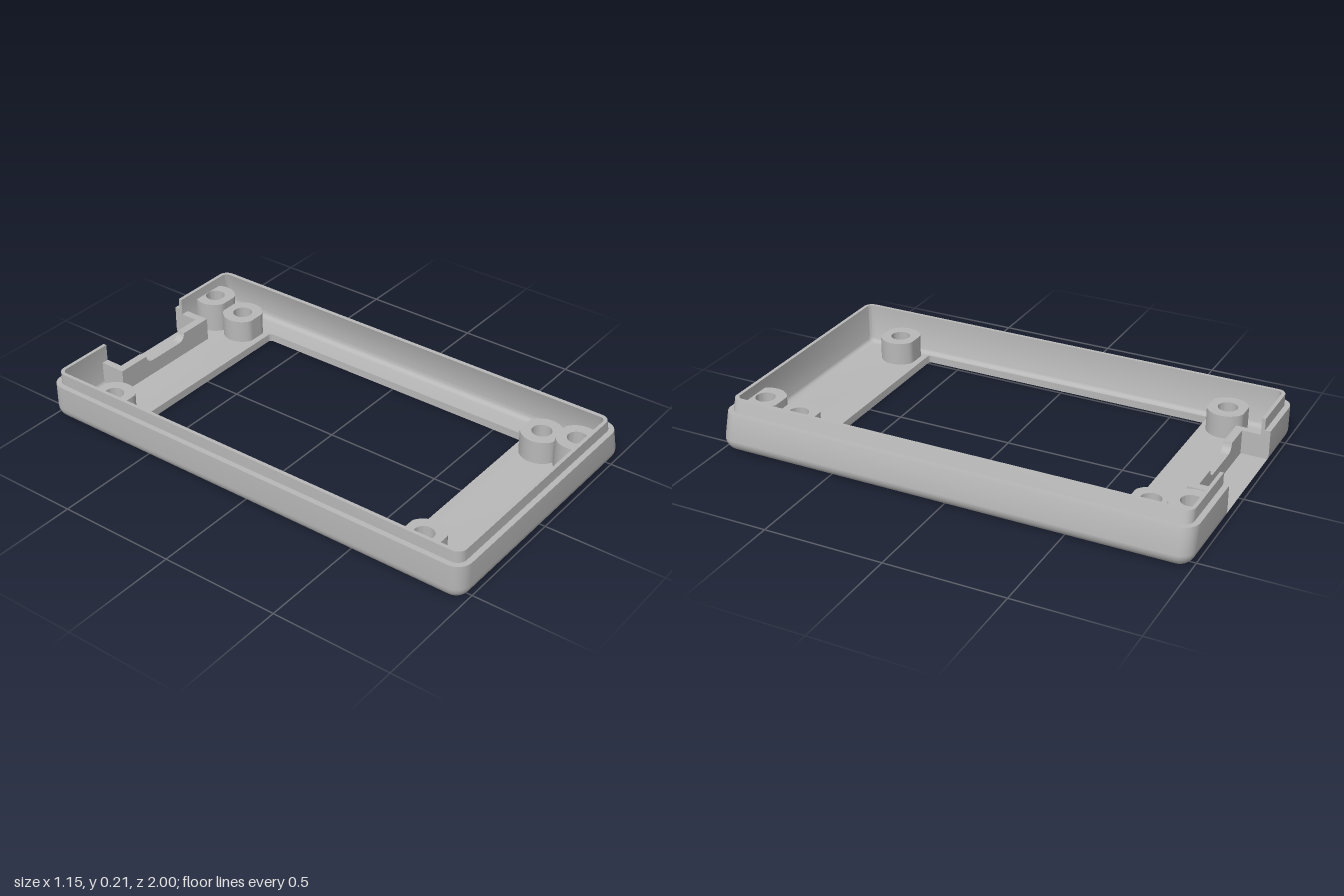
import * as THREE from 'three';
import { toCreasedNormals } from 'three/addons/utils/BufferGeometryUtils.js';

const FLOOR = 0.034, NOTCH = [-0.28, 0.19], SEG = 6;

// Rounded rectangle loop at height y, with two extra points on its back edge at the notch sides
function ring(x0, x1, z0, z1, r, y) {
  const pts = [];
  const corners = [[x1 - r, z1 - r], [x0 + r, z1 - r], [x0 + r, z0 + r], [x1 - r, z0 + r]];
  corners.forEach(([cx, cz], c) => {
    if (c === 3) NOTCH.forEach(x => pts.push(new THREE.Vector3(x, y, z0)));
    for (let i = 0; i <= SEG; i++) {
      const a = (c + i / SEG) * Math.PI / 2;
      pts.push(new THREE.Vector3(cx + r * Math.cos(a), y, cz + r * Math.sin(a)));
    }
  });
  return pts;
}

export function createModel() {
  const group = new THREE.Group();
  const grey = new THREE.MeshStandardMaterial({ color: 0xb8b8b8, side: THREE.DoubleSide });
  grey.name = 'casing grey';
  const add = (name, geometry) => {
    const mesh = new THREE.Mesh(geometry, grey);
    mesh.name = name;
    group.add(mesh);
    return mesh;
  };

  // Closed wall profile: window, underside, rounded edge, wall, stepped lip, inside, floor
  const rings = [ring(-0.515, 0.425, -0.66, 0.65, 0.015, 0)];
  for (let k = 0; k <= 8; k++) {
    const a = k * Math.PI / 16, d = 0.055 * (1 - Math.sin(a));
    rings.push(ring(-0.575 + d, 0.573 - d, -1 + d, 1 - d, 0.062 - d, 0.055 * (1 - Math.cos(a))));
  }
  const cutStart = 7;
  rings.push(ring(-0.575, 0.543, -1, 1, 0.062, 0.157));
  rings.push(ring(-0.552, 0.52, -0.977, 0.977, 0.039, 0.157));
  rings.push(ring(-0.552, 0.505, -0.977, 0.977, 0.039, 0.207));
  rings.push(ring(-0.537, 0.487, -0.962, 0.962, 0.024, 0.207));
  for (let k = 0; k <= 4; k++) {
    const a = k * Math.PI / 8, d = 0.026 * (1 - Math.cos(a));
    rings.push(ring(-0.537 + d, 0.53 - d, -0.962 + d, 0.962 - d, Math.max(0.024 - d, 0.004),
      FLOOR + 0.026 * (1 - Math.sin(a))));
  }
  const cutEnd = rings.length - 1;
  rings.push(ring(-0.515, 0.425, -0.66, 0.65, 0.015, FLOOR));

  // Shell skin, leaving the notch open in the back wall
  const pos = [], n = rings[0].length, gap = 3 * (SEG + 1);
  const quad = (A, B, i) => {
    const j = (i + 1) % n;
    for (const p of [A[i], B[i], B[j], A[i], B[j], A[j]]) pos.push(p.x, p.y, p.z);
  };
  rings.forEach((A, k) => {
    const B = rings[(k + 1) % rings.length];
    for (let i = 0; i < n; i++) {
      if (i === gap && k >= cutStart && k < cutEnd) continue;
      quad(A, B, i);
    }
  });
  quad(rings[cutStart], rings[cutEnd], gap);
  const shell = new THREE.BufferGeometry();
  shell.setAttribute('position', new THREE.Float32BufferAttribute(pos, 3));
  add('shell', toCreasedNormals(shell, 0.6));

  // Wall ends on both sides of the notch
  const section = rings.slice(cutStart, cutEnd + 1).map(r => new THREE.Vector2(r[gap].z, r[gap].y));
  NOTCH.forEach(x => {
    const cap = add('notchEnd', new THREE.ShapeGeometry(new THREE.Shape(section)));
    cap.rotation.y = -Math.PI / 2;
    cap.position.x = x;
  });

  // Pocket wall behind the notch, with a rounded dip in its top edge
  const top = 0.135, dip = 0.1, s = new THREE.Shape();
  s.moveTo(-0.31, FLOOR);
  s.lineTo(0.225, FLOOR);
  s.lineTo(0.225, top);
  s.lineTo(0.075, top);
  s.quadraticCurveTo(0.07, dip, 0.035, dip);
  s.lineTo(-0.125, dip);
  s.quadraticCurveTo(-0.16, dip, -0.165, top);
  s.lineTo(-0.31, top);
  const pocket = add('pocketWall', new THREE.ExtrudeGeometry(s, { depth: 0.035, bevelEnabled: false }));
  pocket.position.z = -0.885;
  [[-0.31, -0.28], [0.19, 0.225]].forEach(([a, b]) => {
    const side = add('pocketSide', new THREE.BoxGeometry(b - a, top - FLOOR, 0.08));
    side.position.set((a + b) / 2, (top + FLOOR) / 2, -0.925);
  });

  // Screw bosses: rings trimmed flat where they meet the walls and each other
  const boss = (x, z, height) => {
    const pts = [];
    for (let i = 0; i < 48; i++) {
      const a = i * Math.PI / 24;
      const px = Math.max(x + 0.086 * Math.cos(a), -0.539);
      const dz = THREE.MathUtils.clamp(0.086 * Math.sin(a), -0.077, 0.077);
      pts.push(new THREE.Vector2(px, -THREE.MathUtils.clamp(z + dz, -0.964, 0.964)));
    }
    const shape = new THREE.Shape(pts);
    shape.holes.push(new THREE.Path().absarc(x, -z, 0.041, 0, Math.PI * 2, true));
    const geo = new THREE.ExtrudeGeometry(shape, { depth: height - FLOOR, bevelEnabled: false, curveSegments: 16 });
    geo.rotateX(-Math.PI / 2);
    add('screwBoss', toCreasedNormals(geo, 0.6)).position.y = FLOOR;
  };
  for (const x of [-0.45, 0.365]) for (const z of [-0.765, 0.755]) boss(x, z, 0.133);
  for (const z of [-0.92, 0.912]) boss(0.365, z, 0.165);

  return group;
}
